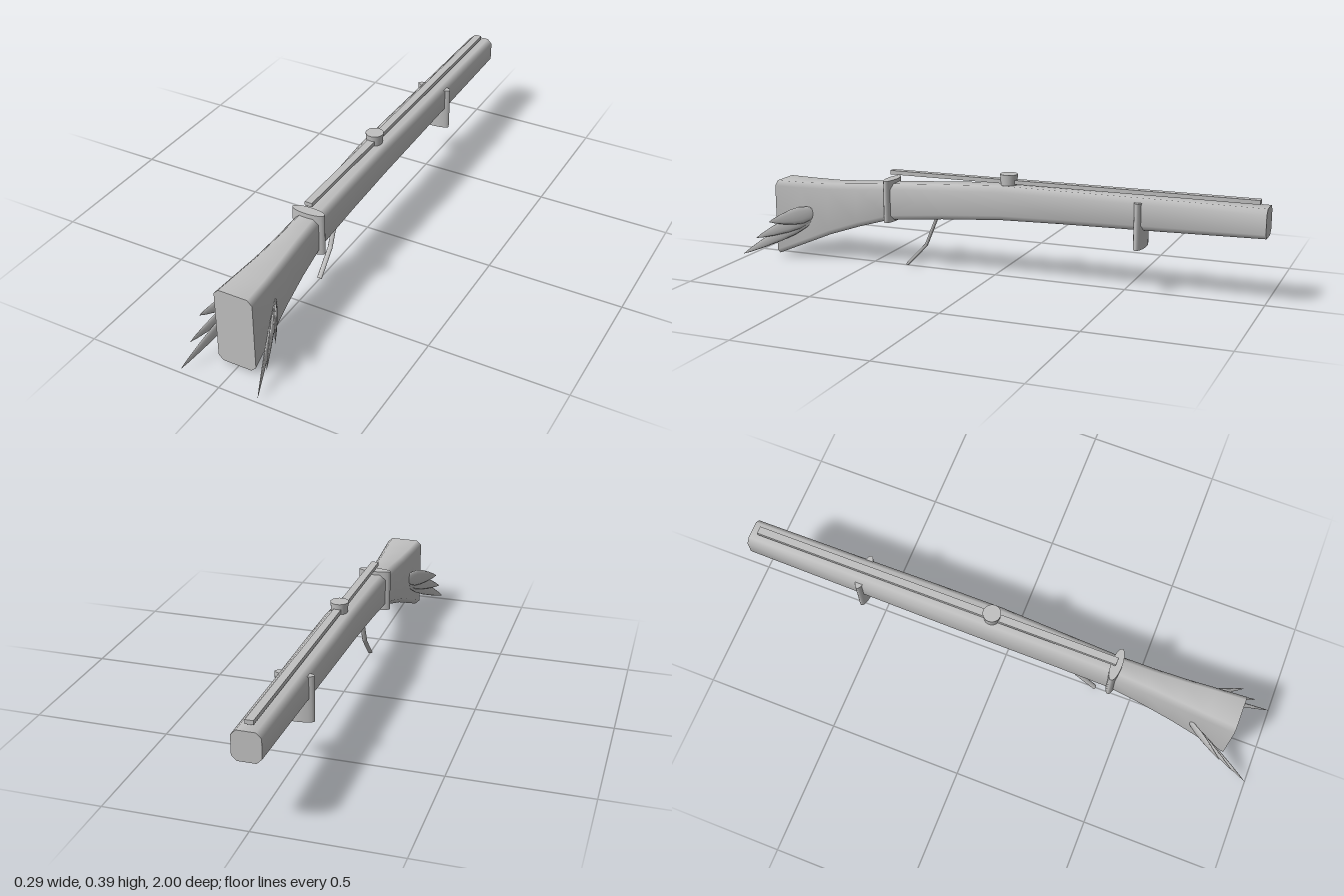
import * as THREE from 'three';

const grey = new THREE.MeshStandardMaterial({ color: 0xc0c0c0 });
grey.name = 'plain grey';

function part(parent, name, geometry, x = 0, y = 0, z = 0) {
  const mesh = new THREE.Mesh(geometry, grey);
  mesh.name = name;
  mesh.position.set(x, y, z);
  parent.add(mesh);
  return mesh;
}

// Chamfered octagon section, counter-clockwise seen from the front
function section([z, bottom, top, w, c]) {
  return [
    [w, bottom + c, z], [w, top - c, z], [w - c, top, z], [c - w, top, z],
    [-w, top - c, z], [-w, bottom + c, z], [c - w, bottom, z], [w - c, bottom, z],
  ];
}

function surface(points, index) {
  const g = new THREE.BufferGeometry();
  g.setAttribute('position', new THREE.Float32BufferAttribute(points.flat(), 3));
  g.setIndex(index);
  g.computeVertexNormals();
  return g;
}

// Skin running through the sections from front to back
function loft(rings) {
  const index = [];
  for (let i = 0; i < rings.length - 1; i++) {
    for (let j = 0; j < 8; j++) {
      const a = i * 8 + j, b = i * 8 + (j + 1) % 8;
      index.push(a, a + 8, b, b, a + 8, b + 8);
    }
  }
  return surface(rings.flat(), index);
}

function cap(ring, facesFront) {
  const index = [];
  for (let j = 1; j < 7; j++) index.push(0, ...(facesFront ? [j, j + 1] : [j + 1, j]));
  return surface(ring, index);
}

// Flat pointed leaf from a base point to a tip
function feather(base, tip, halfWidth) {
  const axis = tip.clone().sub(base);
  const length = axis.length();
  const profile = [[0, 0], [0.5, 0.04], [0.8, 0.14], [1, 0.32], [0.9, 0.5], [0.6, 0.72], [0.27, 0.9], [0, 1]]
    .map(([r, t]) => new THREE.Vector2(r, t * length));
  const g = new THREE.LatheGeometry(profile, 12);
  g.scale(halfWidth, 1, 0.007);
  const along = axis.normalize();
  const flat = new THREE.Vector3(0, 1, 0).cross(along).normalize();
  const across = along.clone().cross(flat).normalize();
  g.applyMatrix4(new THREE.Matrix4().makeBasis(across, along, flat).setPosition(base));
  return g;
}

export function createModel() {
  const model = new THREE.Group();
  model.name = 'longGun';

  // Stock and barrel: z, bottom, top, half width, chamfer
  const rings = [
    [0.89, 0.01, 0.3, 0.072, 0.018],
    [0.78, 0.056, 0.3, 0.065, 0.018],
    [0.67, 0.102, 0.302, 0.057, 0.019],
    [0.55, 0.142, 0.31, 0.05, 0.02],
    [0.42, 0.18, 0.32, 0.046, 0.02],
    [0.2, 0.203, 0.335, 0.05, 0.02],
    [-0.04, 0.223, 0.35, 0.055, 0.02],
    [-0.28, 0.23, 0.35, 0.055, 0.02],
    [-0.64, 0.236, 0.35, 0.052, 0.02],
    [-1, 0.245, 0.35, 0.05, 0.018],
  ].map(section);
  part(model, 'stock', loft(rings));
  part(model, 'buttEnd', cap(rings[0], true));
  part(model, 'muzzleEnd', cap(rings[rings.length - 1], false));

  // Oval bands
  for (const [name, z, w, bottom] of [['frontBand', 0.42, 0.063, 0.175], ['rearBand', -0.555, 0.069, 0.168]]) {
    const g = new THREE.CylinderGeometry(1, 1, 0.335 - bottom, 24);
    g.scale(w, 1, 0.02);
    part(model, name, g, 0, (0.335 + bottom) / 2, z);
  }

  // Rail and knob on top
  const rail = part(model, 'topRail', new THREE.BoxGeometry(0.028, 0.015, 1.39), 0, 0.363, -0.275);
  rail.rotation.x = 0.003;
  part(model, 'knob', new THREE.CylinderGeometry(0.033, 0.029, 0.045, 24), 0, 0.3675, -0.055);

  // Bent trigger lever
  const lever = [[0.225, 0.225], [0.09, 0.28], [0.006, 0.36]].map(([y, z]) => new THREE.Vector3(0, y, z));
  const path = new THREE.CurvePath();
  path.add(new THREE.LineCurve3(lever[0], lever[1]));
  path.add(new THREE.LineCurve3(lever[1], lever[2]));
  const leverGeometry = new THREE.TubeGeometry(path, 16, 0.006, 8);
  leverGeometry.scale(1.6, 1, 1);
  part(model, 'triggerLever', leverGeometry);
  const endCap = part(model, 'triggerLeverEnd', new THREE.CircleGeometry(0.006, 8), 0, 0.006, 0.36);
  endCap.scale.x = 1.6;
  endCap.rotation.x = Math.atan2(0.084, 0.08);

  // Three feathers on each side of the butt
  const tips = [[0.145, 0.155, 0.88, 0.034], [0.146, 0.086, 0.94, 0.03], [0.147, 0.017, 1, 0.027]];
  for (const side of [1, -1]) {
    const fan = new THREE.Group();
    fan.name = side > 0 ? 'leftFeathers' : 'rightFeathers';
    tips.forEach(([x, y, z, w], i) => {
      const base = new THREE.Vector3(side * 0.052, 0.188 - i * 0.008, 0.725);
      part(fan, 'feather' + (i + 1), feather(base, new THREE.Vector3(side * x, y, z), w));
    });
    model.add(fan);
  }
  return model;
}
